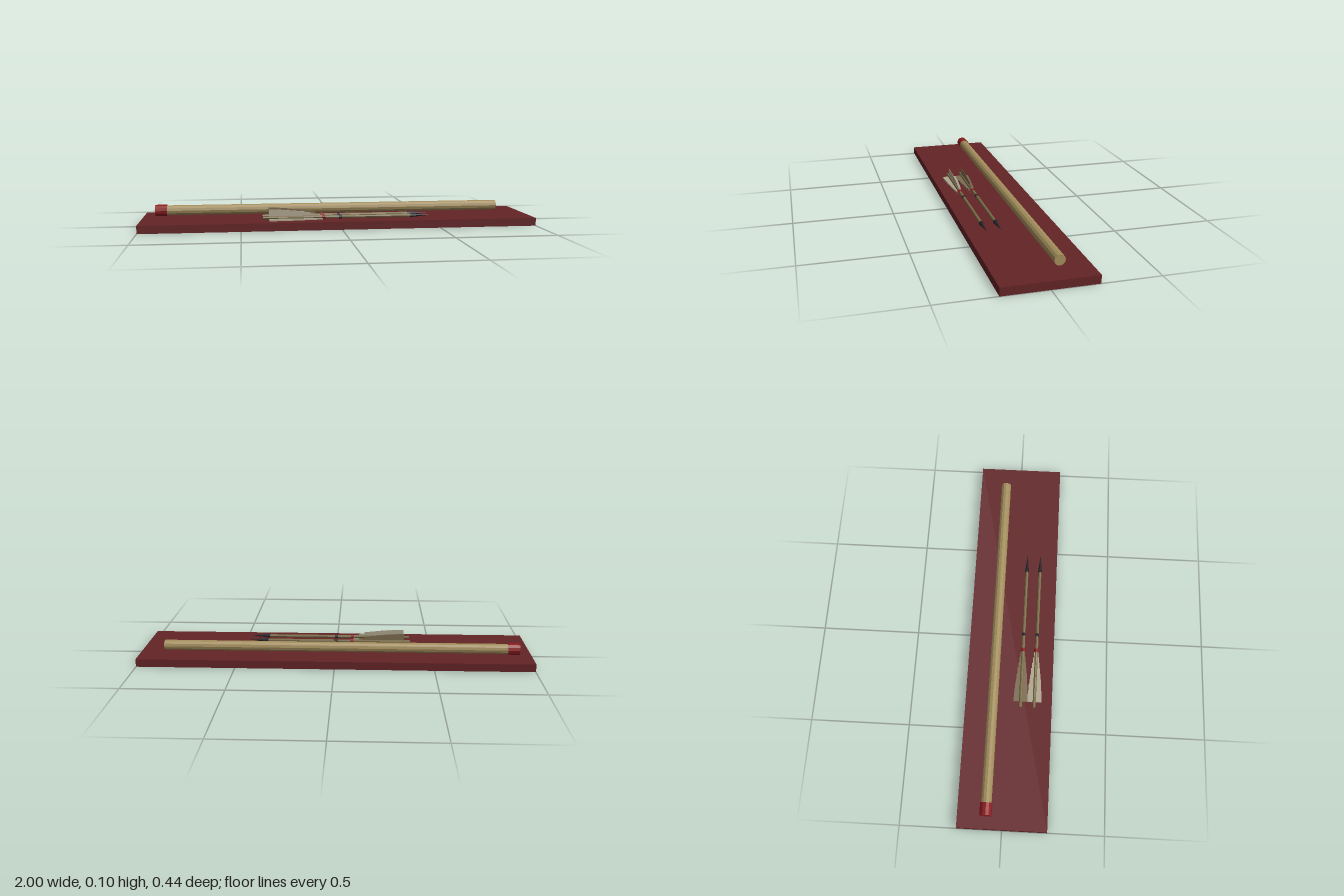
import * as THREE from 'three';

const mat = (name, color) => {
  const m = new THREE.MeshStandardMaterial({ color, flatShading: true });
  m.name = name;
  return m;
};

export function createModel() {
  const boardRed = mat('boardRed', 0x642426);
  const bamboo = mat('bamboo', 0xa38d5c);
  const capRed = mat('capRed', 0x8c1c20);
  const shaftWood = mat('shaftWood', 0x7a6c47);
  const paleFeather = mat('paleFeather', 0xb0a68e);
  const brownFeather = mat('brownFeather', 0x7d6b50);
  const iron = mat('iron', 0x26262b);
  const model = new THREE.Group();
  model.name = 'displayBoard';

  const add = (parent, name, geometry, material, x, y, z) => {
    const mesh = new THREE.Mesh(geometry, material);
    mesh.name = name;
    mesh.position.set(x, y, z);
    parent.add(mesh);
    return mesh;
  };
  // Rod along x from x0 to x1, with radius r0 at x0 and r1 at x1
  const rod = (parent, name, material, x0, x1, r0, r1, sides) => add(parent, name,
    new THREE.CylinderGeometry(r1, r0, x1 - x0, sides).rotateZ(-Math.PI / 2),
    material, (x0 + x1) / 2, 0, 0);

  // Base board
  add(model, 'board', new THREE.BoxGeometry(2, 0.04, 0.44), boardRed, 0, 0.02, 0);

  // Long bamboo tube with a red end cap
  const tube = new THREE.Group();
  tube.name = 'longTube';
  tube.position.set(0, 0.07, -0.08);
  rod(tube, 'tubeBody', bamboo, -0.9, 0.88, 0.026, 0.026, 12);
  rod(tube, 'tubeCap', capRed, -0.94, -0.88, 0.03, 0.03, 12);
  model.add(tube);

  // Feather vane with a stepped outer edge, tapering towards the tip
  const vane = (depth, widths) => {
    const start = -0.36, step = 0.27 / widths.length;
    const shape = new THREE.Shape();
    shape.moveTo(start, 0);
    widths.forEach((w, i) => {
      shape.lineTo(start + i * step, w);
      shape.lineTo(start + (i + 1) * step, w - 0.001);
    });
    shape.lineTo(start + 0.27, 0);
    return new THREE.ExtrudeGeometry(shape, { depth, bevelEnabled: false })
      .translate(0, 0, -depth / 2);
  };
  const sideWidths = [0.036, 0.035, 0.033, 0.03, 0.027, 0.024, 0.02, 0.016, 0.012];
  const topWidths = [0.042, 0.041, 0.039, 0.037, 0.034, 0.031, 0.027, 0.017, 0.009];

  const dart = (name, z, feather) => {
    const g = new THREE.Group();
    g.name = name;
    g.position.set(0, 0.053, z);
    rod(g, 'shaft', shaftWood, -0.39, 0.37, 0.008, 0.008, 8);
    rod(g, 'point', iron, 0.36, 0.46, 0.011, 0, 10);
    rod(g, 'redBinding', capRed, -0.093, -0.077, 0.012, 0.012, 10);
    rod(g, 'darkBinding', iron, -0.008, 0.008, 0.0095, 0.0095, 10);
    add(g, 'topVane', vane(0.002, topWidths), feather, 0, 0, 0);
    for (const side of [1, -1]) {
      const v = add(g, 'sideVane', vane(0.008, sideWidths), feather, 0, -0.0085, 0);
      v.rotation.x = side * Math.PI / 2;
    }
    model.add(g);
  };
  dart('frontDart', 0.13, paleFeather);
  dart('backDart', 0.06, brownFeather);

  return model;
}
